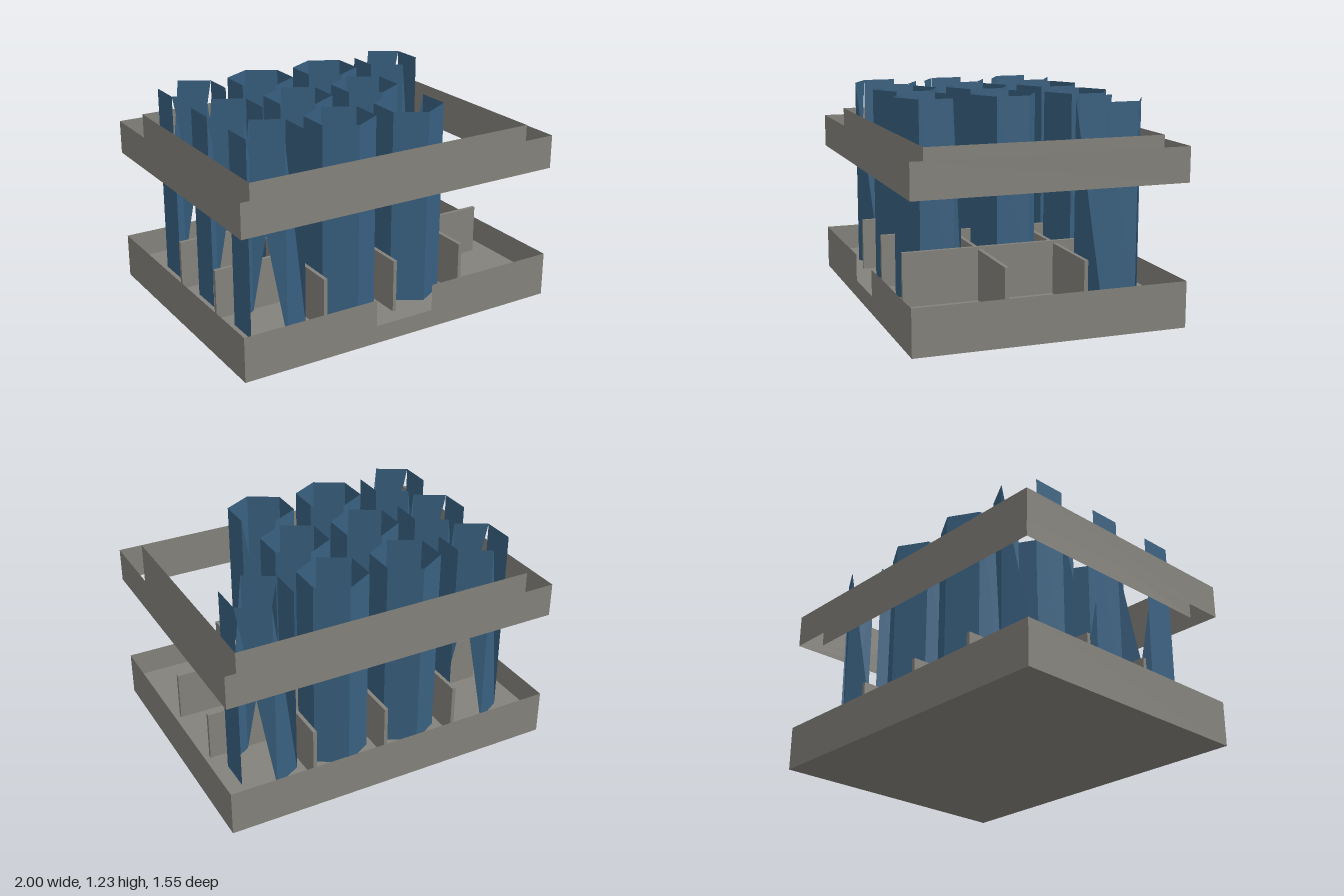
import * as THREE from 'three';

const grey = new THREE.MeshStandardMaterial({ color: 0x84827b, side: THREE.DoubleSide });
grey.name = 'stone grey';
const blue = new THREE.MeshStandardMaterial({ color: 0x396080, side: THREE.DoubleSide });
blue.name = 'steel blue';

// Upright thin sheet from a to b ([x, z]); keep selects both halves or one triangle
function sheet(a, b, y0, y1, keep = 'both') {
  const a0 = [a[0], y0, a[1]], a1 = [a[0], y1, a[1]];
  const b0 = [b[0], y0, b[1]], b1 = [b[0], y1, b[1]];
  const out = [];
  if (keep !== 'upper') out.push(...a0, ...b0, ...a1);
  if (keep !== 'lower') out.push(...a1, ...b0, ...b1);
  return out;
}

// Closed loop of upright sheets around a list of [x, z] corners
function loop(points, y0, y1, keeps = []) {
  return points.flatMap((p, i) => sheet(p, points[(i + 1) % points.length], y0, y1, keeps[i]));
}

function mesh(name, positions, material) {
  const g = new THREE.BufferGeometry();
  g.setAttribute('position', new THREE.Float32BufferAttribute(positions, 3));
  g.computeVertexNormals();
  const m = new THREE.Mesh(g, material);
  m.name = name;
  return m;
}

const rect = (x, z) => [[-x, z], [x, z], [x, -z], [-x, -z]];

export function createModel() {
  const model = new THREE.Group();
  const W = 1, D = 0.773, rim = 0.262, floorY = 0.105;

  // Tray: thin outer walls with a low notch at the front
  const n0 = -0.187, n1 = 0.183;
  model.add(mesh('trayWalls', [
    ...sheet([-W, D], [n0, D], 0, rim),
    ...sheet([n0, D], [n1, D], 0, floorY),
    ...sheet([n1, D], [W, D], 0, rim),
    ...sheet([W, D], [W, -D], 0, rim),
    ...sheet([W, -D], [-W, -D], 0, rim),
    ...sheet([-W, -D], [-W, D], 0, rim),
  ], grey));

  // Tray floor and underside
  for (const [name, y, turn] of [['floor', floorY, -1], ['underside', 0, 1]]) {
    const plate = new THREE.Mesh(new THREE.PlaneGeometry(2 * W, 2 * D).rotateX(turn * Math.PI / 2), grey);
    plate.position.y = y;
    plate.name = name;
    model.add(plate);
  }

  // Crossing dividers that form the cells
  const divider = (name, w, top, d, x, z) => {
    const m = new THREE.Mesh(new THREE.BoxGeometry(w, top - floorY, d), grey);
    m.position.set(x, (top + floorY) / 2, z);
    m.name = name;
    model.add(m);
  };
  for (const x of [-0.45, 0, 0.45]) divider('lengthDivider', 0.022, 0.412, 1.34, x, 0);
  for (const z of [-0.225, 0.225]) divider('crossDivider', 1.79, 0.398, 0.022, 0, z);

  // Upper frame: outer band and a taller inner band, open above and below
  model.add(mesh('frameOuterBand', loop(rect(W, D), 0.803, 1.0), grey));
  model.add(mesh('frameInnerBand', loop(rect(0.895, 0.672), 0.803, 1.052), grey));

  // Open hexagonal tubes; the side columns keep only half of each slanted face
  const half = ['upper', 'lower', 'both', 'upper', 'lower', 'both'];
  const chipped = ['both', 'both', 'both', 'lower', 'both', 'both'];
  const tube = (name, x, z, keeps) => {
    const r = 0.195, w = 0.169;
    const hex = [[-w, r / 2], [0, r], [w, r / 2], [w, -r / 2], [0, -r], [-w, -r / 2]];
    const m = mesh(name, loop(hex, floorY, 1.232, keeps), blue);
    m.position.set(x, 0, z);
    model.add(m);
  };
  for (const z of [-0.447, 0.001, 0.449]) {
    tube('innerTube', -0.226, z);
    tube('innerTube', 0.222, z, z > 0.4 ? chipped : []);
    tube('sideTube', -0.674, z, half);
  }
  tube('sideTube', 0.67, -0.447, half);

  return model;
}
